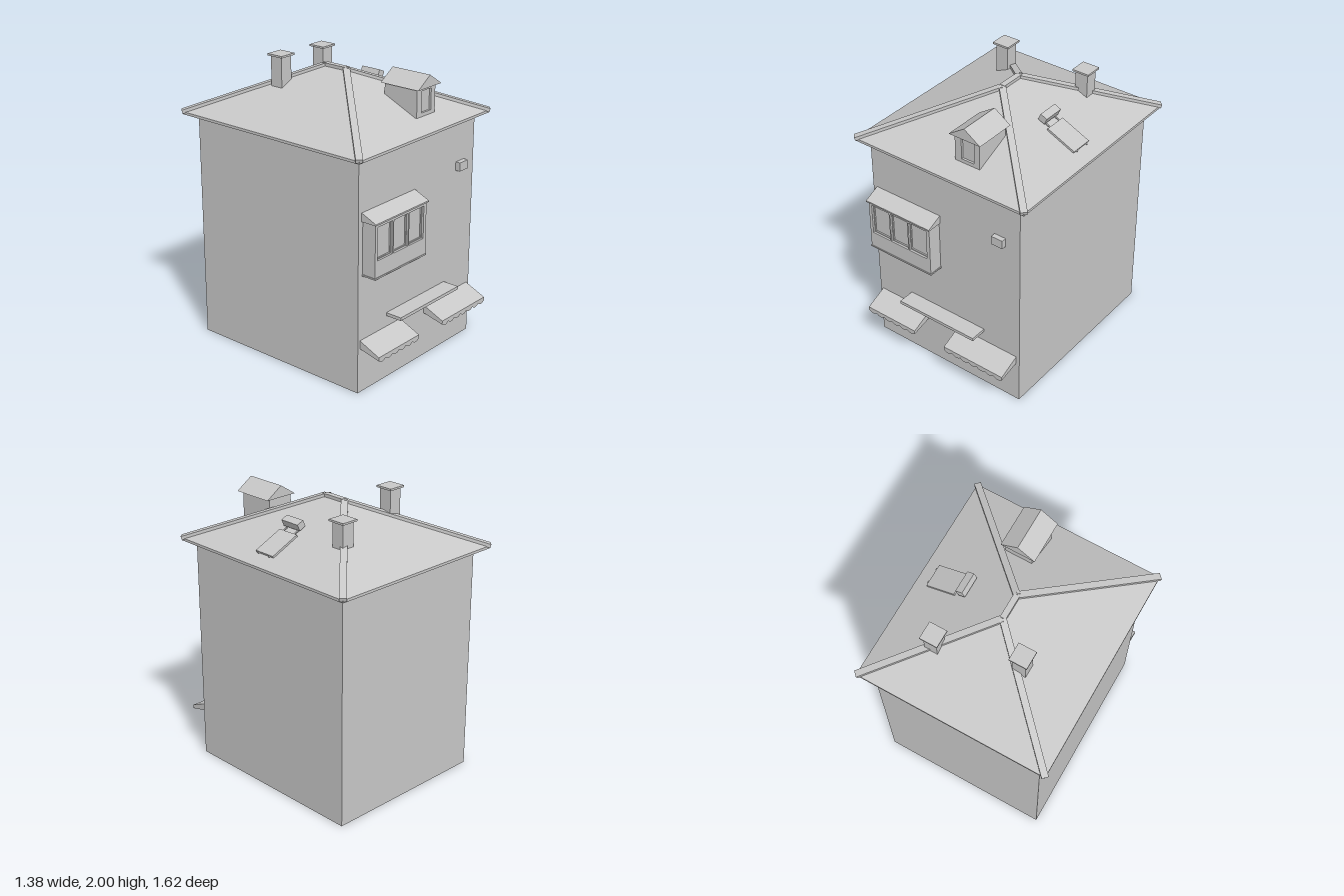
import * as THREE from 'three';
import { ConvexGeometry } from 'three/addons/geometries/ConvexGeometry.js';

const plaster = new THREE.MeshStandardMaterial({ color: 0xc8c8c8 });
plaster.name = 'plasterGrey';

const V = (x, y, z) => new THREE.Vector3(x, y, z);

function add(parent, name, geometry) {
  const mesh = new THREE.Mesh(geometry, plaster);
  mesh.name = name;
  parent.add(mesh);
  return mesh;
}

// Box given by its limits on each axis
function block(parent, name, [x0, x1], [y0, y1], [z0, z1]) {
  const mesh = add(parent, name, new THREE.BoxGeometry(x1 - x0, y1 - y0, z1 - z0));
  mesh.position.set((x0 + x1) / 2, (y0 + y1) / 2, (z0 + z1) / 2);
  return mesh;
}

// Square bar running between two points
function bar(parent, name, a, b, width, height) {
  const mesh = add(parent, name, new THREE.BoxGeometry(width, height, a.distanceTo(b)));
  mesh.position.copy(a).add(b).multiplyScalar(0.5);
  mesh.lookAt(b);
  return mesh;
}

// Profile of [z, y] points, extruded along x
function prismX(parent, name, profile, x0, x1) {
  const points = [];
  for (const [z, y] of profile) points.push(V(x0, y, z), V(x1, y, z));
  return add(parent, name, new ConvexGeometry(points));
}

function extrude(shape, depth) {
  return new THREE.ExtrudeGeometry(shape, { depth, bevelEnabled: false });
}

function rectangle(Type, x0, x1, y0, y1) {
  const path = new Type();
  path.moveTo(x0, y0);
  path.lineTo(x1, y0);
  path.lineTo(x1, y1);
  path.lineTo(x0, y1);
  path.closePath();
  return path;
}

function group(parent, name) {
  const g = new THREE.Group();
  g.name = name;
  parent.add(g);
  return g;
}

function addRoof(parent) {
  const roof = group(parent, 'roof');
  const ridge = [V(0, 1.91, 0.055), V(0, 1.91, -0.12)];
  const points = [...ridge];
  for (const x of [-0.672, 0.672]) {
    [0.725, -0.79].forEach((z, i) => {
      points.push(V(x, 1.59, z), V(x, 1.608, z));
      bar(roof, 'hipCap', ridge[i], V(x, 1.61, z), 0.045, 0.025);
    });
  }
  add(roof, 'hippedRoof', new ConvexGeometry(points));
  bar(roof, 'ridgeCap', ridge[0], ridge[1], 0.04, 0.025);
}

function addChimney(parent, x, z, bottom, top) {
  const chimney = group(parent, 'chimney');
  block(chimney, 'chimneyShaft', [x - 0.046, x + 0.046], [bottom, top - 0.013], [z - 0.046, z + 0.046]);
  block(chimney, 'chimneyCap', [x - 0.062, x + 0.062], [top - 0.013, top], [z - 0.062, z + 0.062]);
}

function addDormer(parent) {
  const dormer = group(parent, 'dormer');
  // Front wall with a recessed window
  const front = rectangle(THREE.Shape, 0.05, 0.24, 1.67, 1.862);
  front.holes.push(rectangle(THREE.Path, 0.1, 0.198, 1.695, 1.84));
  add(dormer, 'dormerFrame', extrude(front, 0.015)).position.z = 0.58;
  block(dormer, 'dormerWalls', [0.05, 0.24], [1.67, 1.862], [0.335, 0.58]);
  // Gabled top
  const gable = new THREE.Shape([
    new THREE.Vector2(0.025, 1.862), new THREE.Vector2(0.267, 1.862), new THREE.Vector2(0.146, 1.942),
  ]);
  add(dormer, 'dormerGable', extrude(gable, 0.3)).position.z = 0.322;
}

function addWaterHeater(parent) {
  // Lies along the slope of the left side of the roof
  const heater = group(parent, 'solarWaterHeater');
  heater.position.set(0.473, 1.698, 0.003);
  heater.rotation.z = -Math.atan2(0.302, 0.672);
  block(heater, 'solarPanel', [-0.112, 0.112], [0.002, 0.016], [-0.08, 0.08]);
  block(heater, 'waterTank', [-0.2, -0.147], [0.018, 0.066], [-0.075, 0.075]);
  for (const z of [-0.05, 0.05]) {
    block(heater, 'pipe', [-0.15, 0.122], [0.006, 0.013], [z - 0.005, z + 0.005]);
  }
}

function addBayWindow(parent) {
  const bay = group(parent, 'bayWindow');
  block(bay, 'bayBody', [-0.557, -0.045], [0.82, 1.186], [0.65, 0.735]);
  const frame = rectangle(THREE.Shape, -0.557, -0.045, 0.82, 1.186);
  for (const [x0, x1] of [[-0.533, -0.385], [-0.374, -0.23], [-0.22, -0.072]]) {
    frame.holes.push(rectangle(THREE.Path, x0, x1, 0.934, 1.156));
    // Inner sash line
    const sash = rectangle(THREE.Shape, x0, x1, 0.934, 1.156);
    sash.holes.push(rectangle(THREE.Path, x0 + 0.006, x1 - 0.006, 0.94, 1.15));
    add(bay, 'sash', extrude(sash, 0.01)).position.z = 0.735;
  }
  add(bay, 'bayFrame', extrude(frame, 0.025)).position.z = 0.735;
  block(bay, 'baySill', [-0.562, -0.04], [0.812, 0.822], [0.65, 0.764]);
  block(bay, 'bayBase', [-0.53, -0.075], [0.793, 0.812], [0.65, 0.74]);
  prismX(bay, 'bayRoof', [[0.65, 1.24], [0.772, 1.187], [0.772, 1.177], [0.65, 1.177]], -0.568, -0.037);
}

function addAwning(parent, x0, x1, scallops) {
  const awning = group(parent, 'awning');
  prismX(awning, 'awningTop', [[0.655, 0.371], [0.815, 0.302], [0.815, 0.296], [0.655, 0.364]], x0, x1);
  // Scalloped valance
  const valance = new THREE.Shape();
  valance.moveTo(x1, 0.302);
  valance.lineTo(x0, 0.302);
  valance.lineTo(x0, 0.278);
  const step = (x1 - x0) / scallops;
  for (let i = 0; i < scallops; i++) {
    valance.quadraticCurveTo(x0 + (i + 0.5) * step, 0.248, x0 + (i + 1) * step, 0.278);
  }
  valance.closePath();
  add(awning, 'valance', extrude(valance, 0.006)).position.z = 0.809;
  // Side cheeks
  const cheek = [[0.655, 0.368], [0.812, 0.3], [0.812, 0.277], [0.655, 0.314]];
  prismX(awning, 'awningCheek', cheek, x0, x0 + 0.006);
  prismX(awning, 'awningCheek', cheek, x1 - 0.006, x1);
}

export function createModel() {
  const house = new THREE.Group();
  house.name = 'house';
  block(house, 'walls', [-0.598, 0.598], [0, 1.595], [-0.712, 0.66]);
  addRoof(house);
  addChimney(house, -0.238, -0.298, 1.74, 2.0);
  addChimney(house, 0.31, -0.422, 1.735, 1.932);
  addDormer(house);
  addWaterHeater(house);
  addBayWindow(house);
  block(house, 'wallVent', [0.402, 0.488], [1.24, 1.3], [0.65, 0.695]);
  block(house, 'doorCanopy', [-0.313, 0.308], [0.445, 0.467], [0.65, 0.778]);
  addAwning(house, -0.578, -0.165, 6);
  addAwning(house, 0.09, 0.573, 7);
  return house;
}
